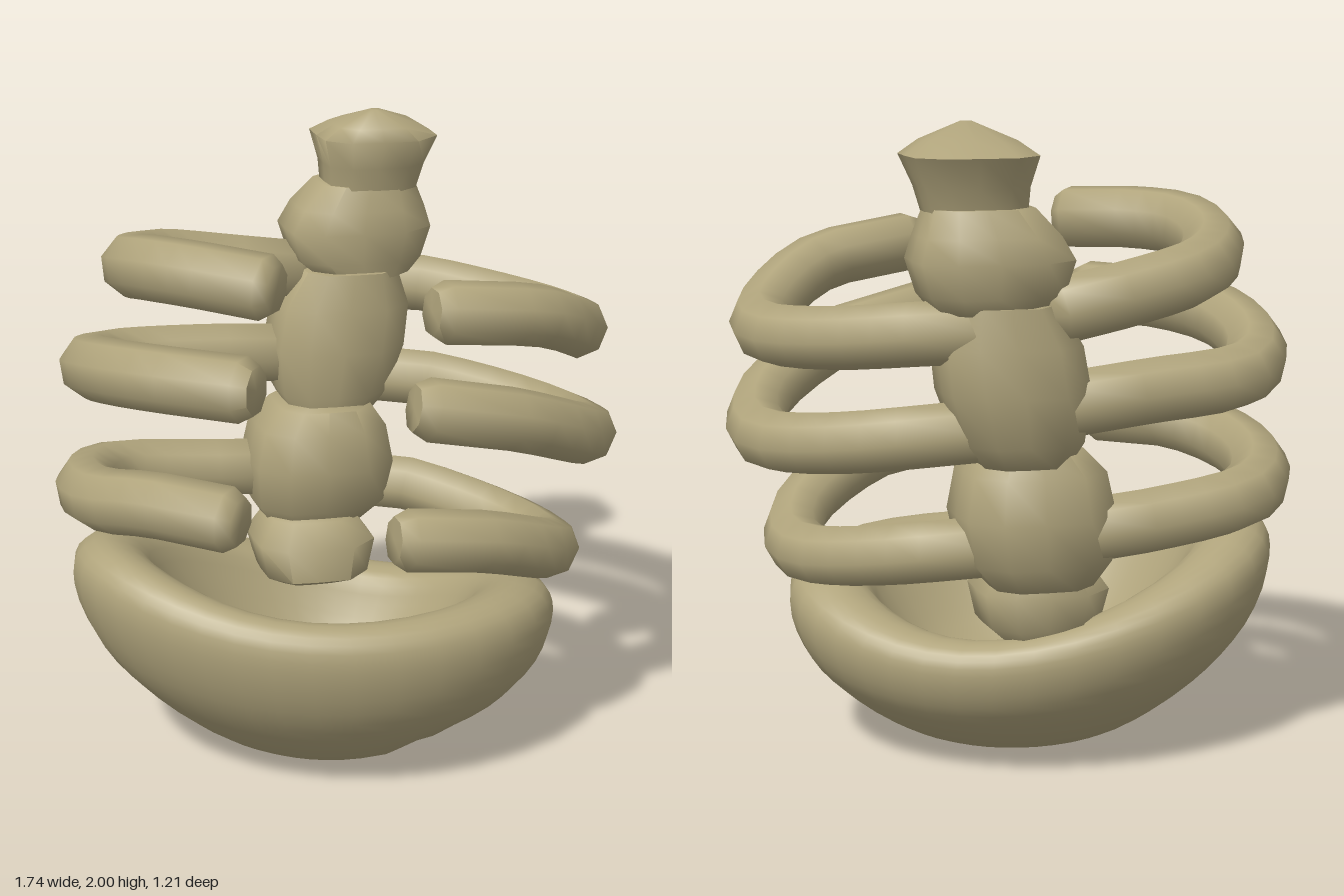
import * as THREE from 'three';
import { mergeVertices, toCreasedNormals } from 'three/addons/utils/BufferGeometryUtils.js';

const bone = new THREE.MeshStandardMaterial({ color: 0xb0a47c });

// Weld seams, then smooth while keeping sharp edges
function finish(geometry, crease) {
  geometry.deleteAttribute('uv');
  geometry.deleteAttribute('normal');
  return toCreasedNormals(mergeVertices(geometry, 1e-4), crease);
}

function addPart(group, name, geometry) {
  const mesh = new THREE.Mesh(geometry, bone);
  mesh.name = name;
  group.add(mesh);
}

// Apply a rule to every vertex of a geometry
function reshape(geometry, rule) {
  const pos = geometry.attributes.position;
  const v = new THREE.Vector3();
  for (let i = 0; i < pos.count; i++) {
    rule(v.fromBufferAttribute(pos, i), i);
    pos.setXYZ(i, v.x, v.y, v.z);
  }
  return geometry;
}

// Vertebra: stacked rings [y, centreX, centreZ, radiusX, radiusZ], closed at both ends,
// each a squarish oval that is longer on one diagonal
function vertebra(rings) {
  const first = rings[0], last = rings[rings.length - 1];
  const all = [[first[0], first[1], first[2], 0, 0], ...rings, [last[0], last[1], last[2], 0, 0]];
  const lathe = new THREE.LatheGeometry(all.map((r, i) => new THREE.Vector2(1, i)), 12);
  reshape(lathe, (v) => {
    const [y, cx, cz, rx, rz] = all[Math.round(v.y)];
    const diagonal = 2 * v.x * v.z;
    const grow = 1 + (diagonal > 0 ? 0.2 : -0.1) * diagonal;
    v.set(cx + v.x * rx * grow, y, cz + v.z * rz * grow);
  });
  return finish(lathe, 1.1);
}

// Rib: tube along a curve, its end rings folded in to make bevelled caps
function rib(points, radius) {
  const curve = new THREE.CatmullRomCurve3(points.map((p) => new THREE.Vector3(...p)));
  const n = 18, sides = 8;
  const tube = new THREE.TubeGeometry(curve, n, radius, sides);
  const at = (ring) => curve.getPointAt(ring / n);
  reshape(tube, (v, i) => {
    const ring = Math.floor(i / (sides + 1));
    const fromEnd = Math.min(ring, n - ring);
    const towardEnd = (k) => at(ring < n / 2 ? k : n - k);
    if (fromEnd === 0) v.copy(at(ring));
    if (fromEnd === 1) v.sub(at(ring)).multiplyScalar(0.75).add(towardEnd(0));
    if (fromEnd === 2) v.sub(at(ring)).add(towardEnd(0.45));
  });
  return finish(tube, 1.1);
}

// Pelvis: thick bowl with a tilted, skewed oval rim and a dimple low on the front left
function pelvisBowl() {
  const profile = new THREE.CatmullRomCurve3([
    [0, 0], [0.3, 0.02], [0.5, 0.1], [0.77, 0.33], [0.93, 0.55], [1, 0.8], [0.97, 0.94], [0.86, 1],
    [0.72, 0.95], [0.61, 0.76], [0.44, 0.5], [0.24, 0.36], [0, 0.32],
  ].map(([r, h]) => new THREE.Vector3(r, h, 0)), false, 'centripetal');
  const points = profile.getPoints(36).map((p) => new THREE.Vector2(Math.max(0, p.x), Math.max(0, p.y)));
  const lathe = new THREE.LatheGeometry(points, 36);
  const dimple = new THREE.Vector3(0.27, 0.09, 0.18);
  const inward = new THREE.Vector3(-0.4, 0.85, -0.35).normalize();
  reshape(lathe, (v, i) => {
    const row = i % points.length;
    const r = Math.hypot(v.x, v.z) || 1;
    const t = v.x / r, s = v.z / r, h = v.y;
    const rimY = 0.56 - 0.1 * t + 0.07 * s + 0.09 * t * t + 0.08 * t * s;
    const skew = 1 + 0.18 * t * s;
    const floorShift = row > 24 ? 0.1 * (1 - r / 0.72) : 0;
    v.set(-0.04 - 0.05 * h + v.x * 0.745 * skew, h * rimY, 0.01 + v.z * 0.545 * skew - floorShift);
    const d = v.distanceTo(dimple);
    if (row < 18 && d < 0.17) v.addScaledVector(inward, 0.09 * Math.cos((d / 0.17) * Math.PI / 2));
  });
  return finish(lathe, 1.2);
}

const VERTEBRAE = [
  [[0.42, -0.02, -0.35, 0.1, 0.08], [0.48, -0.02, -0.31, 0.17, 0.155], [0.59, -0.02, -0.32, 0.195, 0.16], [0.67, -0.02, -0.33, 0.14, 0.12]],
  [[0.62, 0, -0.4, 0.15, 0.12], [0.7, 0.01, -0.39, 0.21, 0.175], [0.84, 0.02, -0.39, 0.23, 0.19], [0.97, 0.02, -0.38, 0.205, 0.175], [1.04, 0.03, -0.38, 0.15, 0.14]],
  [[1.0, 0.06, -0.42, 0.13, 0.12], [1.07, 0.07, -0.43, 0.175, 0.15], [1.22, 0.09, -0.44, 0.21, 0.165], [1.36, 0.11, -0.44, 0.205, 0.16], [1.48, 0.13, -0.44, 0.15, 0.14]],
  [[1.46, 0.17, -0.44, 0.15, 0.12], [1.51, 0.16, -0.45, 0.2, 0.14], [1.61, 0.16, -0.45, 0.23, 0.15], [1.68, 0.17, -0.45, 0.2, 0.14], [1.76, 0.19, -0.44, 0.15, 0.11]],
  [[1.73, 0.2, -0.43, 0.14, 0.1], [1.82, 0.21, -0.43, 0.155, 0.12], [1.91, 0.22, -0.44, 0.185, 0.155], [1.95, 0.215, -0.41, 0.13, 0.11], [2.0, 0.21, -0.37, 0.015, 0.015]],
];

const RIGHT_RIBS = [
  [[0, 1.45, -0.49], [-0.22, 1.49, -0.47], [-0.49, 1.55, -0.4], [-0.6, 1.6, -0.19], [-0.57, 1.64, -0.02], [-0.45, 1.65, 0.12], [-0.25, 1.64, 0.28]],
  [[0, 1.17, -0.48], [-0.3, 1.2, -0.46], [-0.64, 1.23, -0.4], [-0.74, 1.28, -0.21], [-0.71, 1.34, 0.03], [-0.58, 1.37, 0.22], [-0.34, 1.38, 0.41]],
  [[-0.05, 0.78, -0.46], [-0.3, 0.8, -0.45], [-0.66, 0.85, -0.39], [-0.77, 0.89, -0.19], [-0.75, 0.93, 0.04], [-0.62, 0.97, 0.21], [-0.39, 0.97, 0.4]],
];

const LEFT_RIBS = [
  [[0.12, 1.41, -0.5], [0.35, 1.4, -0.45], [0.6, 1.37, -0.28], [0.75, 1.36, -0.08], [0.74, 1.39, 0.11], [0.54, 1.51, 0.31], [0.19, 1.57, 0.38]],
  [[0.1, 1.11, -0.45], [0.33, 1.09, -0.41], [0.59, 1.05, -0.26], [0.75, 1.03, -0.07], [0.77, 1.05, 0.11], [0.69, 1.12, 0.31], [0.4, 1.26, 0.49], [0.1, 1.33, 0.52]],
  [[0.05, 0.75, -0.42], [0.28, 0.73, -0.37], [0.48, 0.69, -0.23], [0.63, 0.66, -0.05], [0.66, 0.67, 0.12], [0.59, 0.74, 0.3], [0.33, 0.86, 0.46], [0.05, 0.91, 0.5]],
];

export function createModel() {
  const model = new THREE.Group();
  model.name = 'ribcage';

  addPart(model, 'pelvis', pelvisBowl());

  const spine = new THREE.Group();
  spine.name = 'spine';
  VERTEBRAE.forEach((rings, i) => addPart(spine, `vertebra${i + 1}`, vertebra(rings)));
  model.add(spine);

  const ribs = new THREE.Group();
  ribs.name = 'ribs';
  RIGHT_RIBS.forEach((p, i) => addPart(ribs, `rightRib${i + 1}`, rib(p, 0.1)));
  LEFT_RIBS.forEach((p, i) => addPart(ribs, `leftRib${i + 1}`, rib(p, 0.095)));
  model.add(ribs);

  return model;
}
